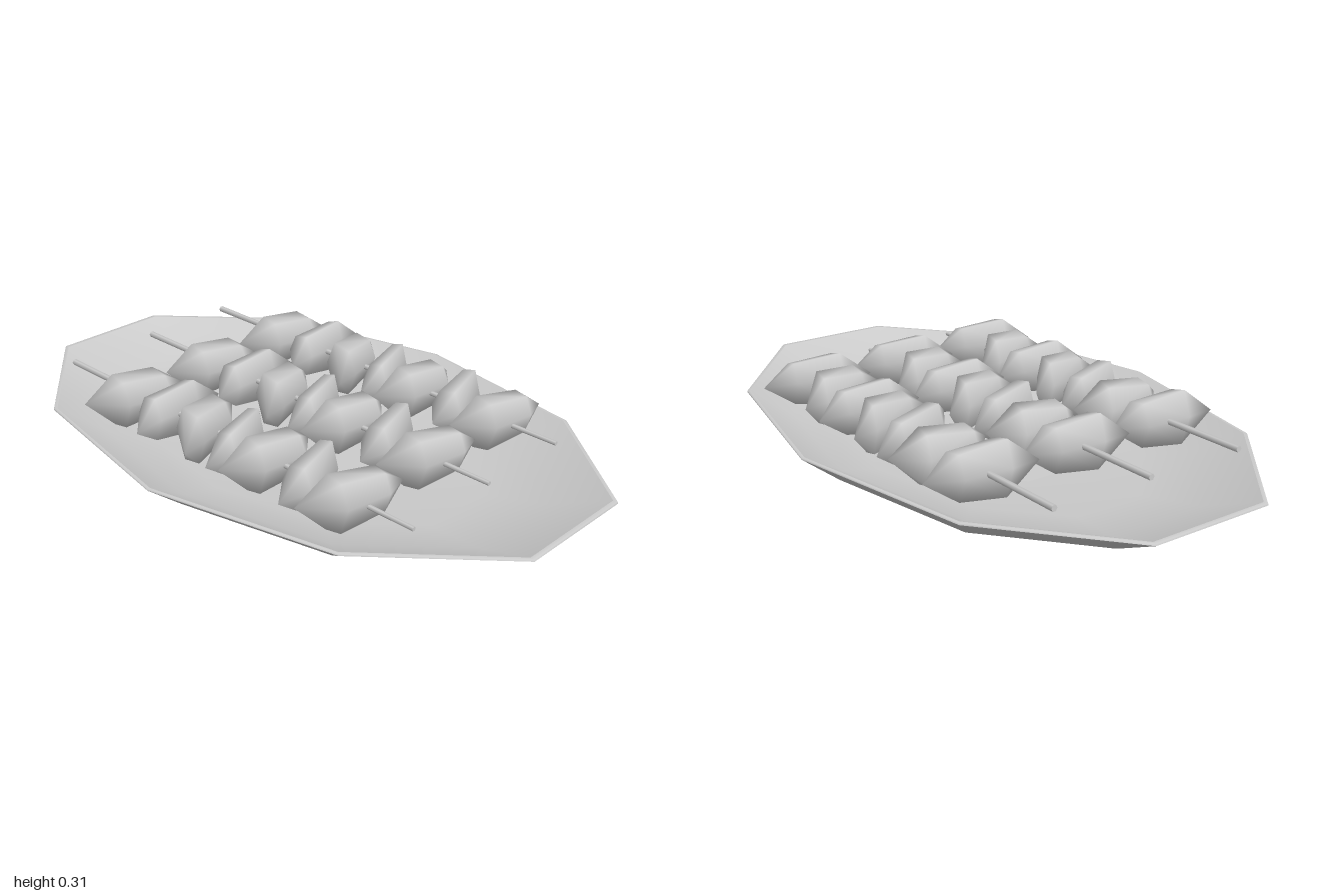
import * as THREE from 'three';

const grey = new THREE.MeshStandardMaterial({ color: 0xcccccc });

function addMesh(parent, geometry, name) {
  const mesh = new THREE.Mesh(geometry, grey);
  mesh.name = name;
  parent.add(mesh);
  return mesh;
}

// Ten-sided oval plate: each profile strip is smooth, with sharp folds between strips
function createPlate() {
  const plate = new THREE.Group();
  plate.name = 'plate';
  const strips = {
    footBase: [[0, 0.003], [0.2, 0.006], [0.305, 0.012]],
    footSide: [[0.305, 0.012], [0.305, 0.05]],
    underside: [[0.305, 0.045], [0.6, 0.056]],
    outerWall: [[0.6, 0.056], [0.815, 0.09], [1, 0.185]],
    rim: [[1, 0.185], [0.998, 0.19], [0.985, 0.19]],
    innerWall: [[0.985, 0.19], [0.8, 0.118], [0.6, 0.086], [0.305, 0.072]],
    innerFloor: [[0.305, 0.072], [0, 0.07]],
  };
  for (const [name, pts] of Object.entries(strips)) {
    const profile = pts.map(([r, y]) => new THREE.Vector2(r, y));
    addMesh(plate, new THREE.LatheGeometry(profile, 10), name);
  }
  plate.scale.set(1.05, 1, 0.655);
  return plate;
}

// Meat chunk: two six-sided rings lofted between a back tip and a front tip
function chunkGeometry([tipBack, backL, backR, frontL, frontR, tipFront], flip) {
  const ring = [[-1, 0.1], [-0.5, 1], [0.5, 0.85], [1, 0.05], [0.5, -0.9], [-0.5, -1]];
  const n = ring.length;
  const pos = [tipBack, flip ? 0.235 : 0.222, -0.172];
  const sections = [
    [backL, backR, -0.075, flip ? 0.088 : 0.07],
    [frontL, frontR, 0.075, flip ? 0.07 : 0.088],
  ];
  for (const [left, right, z, height] of sections) {
    for (const [a, b] of ring) {
      const side = flip ? -a : a;
      pos.push((left + right) / 2 + side * (right - left) / 2, 0.225 + b * height, z);
    }
  }
  pos.push(tipFront, flip ? 0.222 : 0.235, 0.172);

  const index = [];
  const tri = (a, b, c) => (flip ? index.push(a, c, b) : index.push(a, b, c));
  const last = 2 * n + 1;
  for (let i = 0; i < n; i++) {
    const j = (i + 1) % n;
    const a = 1 + i, b = 1 + j, c = a + n, d = b + n;
    tri(0, a, b);
    tri(a, c, b);
    tri(b, c, d);
    tri(c, last, d);
  }
  const geometry = new THREE.BufferGeometry();
  geometry.setAttribute('position', new THREE.Float32BufferAttribute(pos, 3));
  geometry.setIndex(index);
  geometry.computeVertexNormals();
  return geometry;
}

// x positions: back tip, back ring left/right, front ring left/right, front tip
const chunks = [
  [-0.42, -0.485, -0.36, -0.498, -0.385, -0.49],
  [-0.245, -0.32, -0.23, -0.34, -0.235, -0.235],
  [-0.185, -0.195, -0.08, -0.165, -0.035, -0.015],
  [-0.06, -0.03, 0.06, 0.0, 0.1, 0.07],
  [0.15, 0.13, 0.235, 0.115, 0.22, 0.125],
  [0.235, 0.265, 0.36, 0.285, 0.4, 0.365],
  [0.52, 0.47, 0.557, 0.425, 0.535, 0.425],
].map((row, i) => chunkGeometry(row, i % 2 === 1));

// Skewer: a slightly tilted stick threaded through the chunks
function createSkewer(z) {
  const skewer = new THREE.Group();
  skewer.name = 'skewer';
  const start = new THREE.Vector3(-0.77, 0.239, 0);
  const end = new THREE.Vector3(0.7, 0.211, 0);
  const stick = addMesh(skewer, new THREE.CylinderGeometry(0.007, 0.01, start.distanceTo(end), 6), 'stick');
  stick.position.copy(start).lerp(end, 0.5);
  stick.quaternion.setFromUnitVectors(new THREE.Vector3(0, 1, 0), end.clone().sub(start).normalize());
  for (const geometry of chunks) addMesh(skewer, geometry, 'meatChunk');
  skewer.position.z = z;
  return skewer;
}

export function createModel() {
  const model = new THREE.Group();
  model.name = 'skewerPlatter';
  model.add(createPlate());
  for (const z of [-0.342, -0.008, 0.326]) model.add(createSkewer(z));
  return model;
}
